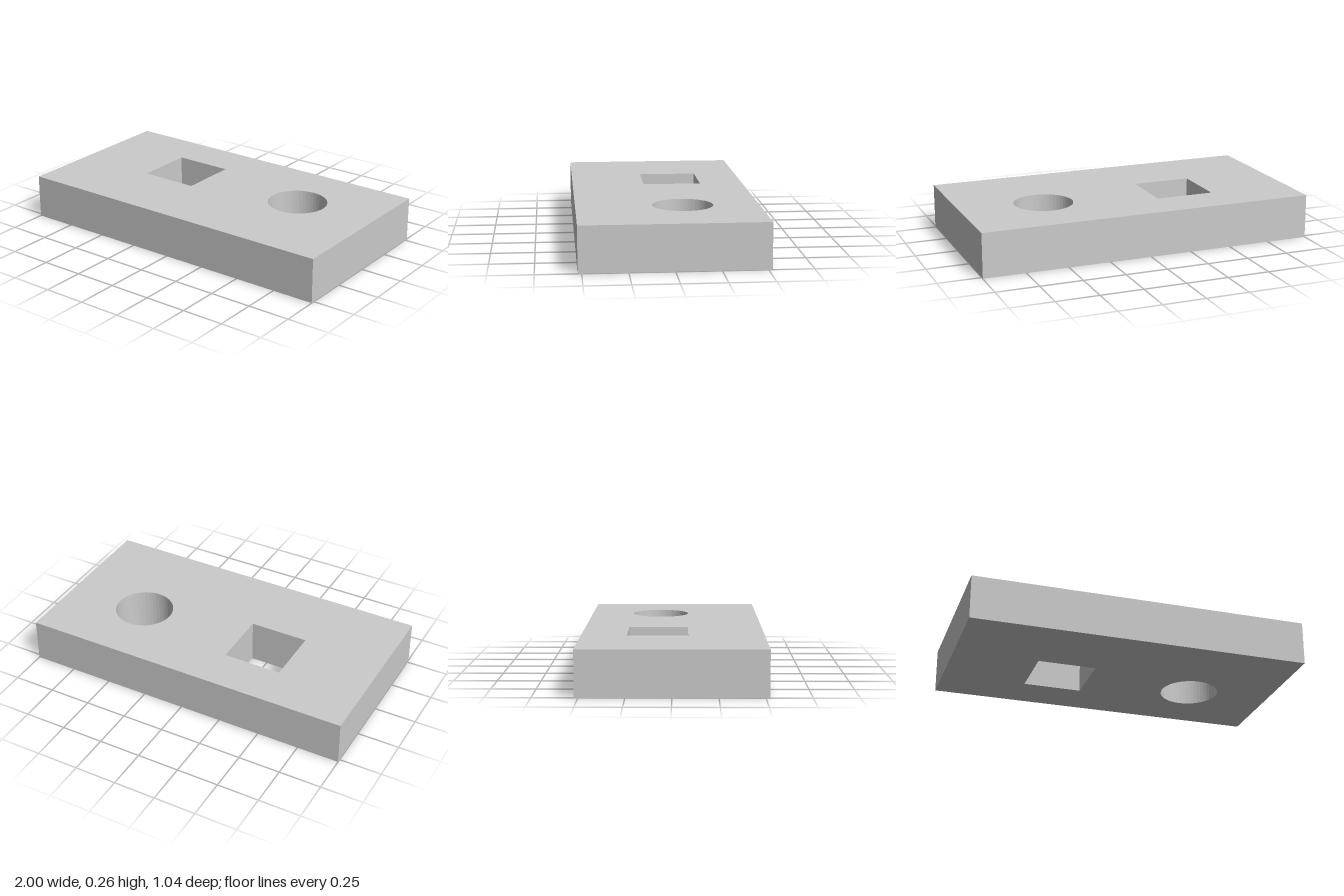
import * as THREE from 'three';

const LENGTH = 2, WIDTH = 1.043, HEIGHT = 0.261;
const HOLE = 0.348;      // side of the square hole, diameter of the round one
const HOLE_Z = -0.087;   // both holes sit slightly behind the middle

// Adds a rectangle, centred on (x, z), to a shape or path drawn in plan
function rectangle(path, x, z, w, d) {
  path.moveTo(x - w / 2, -z - d / 2);
  path.lineTo(x + w / 2, -z - d / 2);
  path.lineTo(x + w / 2, -z + d / 2);
  path.lineTo(x - w / 2, -z + d / 2);
  path.closePath();
  return path;
}

export function createModel() {
  const group = new THREE.Group();
  group.name = 'plateWithHoles';

  // Plate outline with a square and a round through hole
  const outline = rectangle(new THREE.Shape(), 0, 0, LENGTH, WIDTH);
  const squareHole = rectangle(new THREE.Path(), -0.326, HOLE_Z, HOLE, HOLE);
  const roundHole = new THREE.Path().absarc(0.5, -HOLE_Z, HOLE / 2, 0, Math.PI * 2, true);
  outline.holes.push(squareHole, roundHole);

  // Extrude the plan and lay it flat on the ground
  const geometry = new THREE.ExtrudeGeometry(outline, {
    depth: HEIGHT, bevelEnabled: false, curveSegments: 24,
  });
  geometry.rotateX(-Math.PI / 2);

  const plate = new THREE.Mesh(geometry, new THREE.MeshStandardMaterial({ color: 0xcccccc }));
  plate.name = 'plate';
  group.add(plate);
  return group;
}
